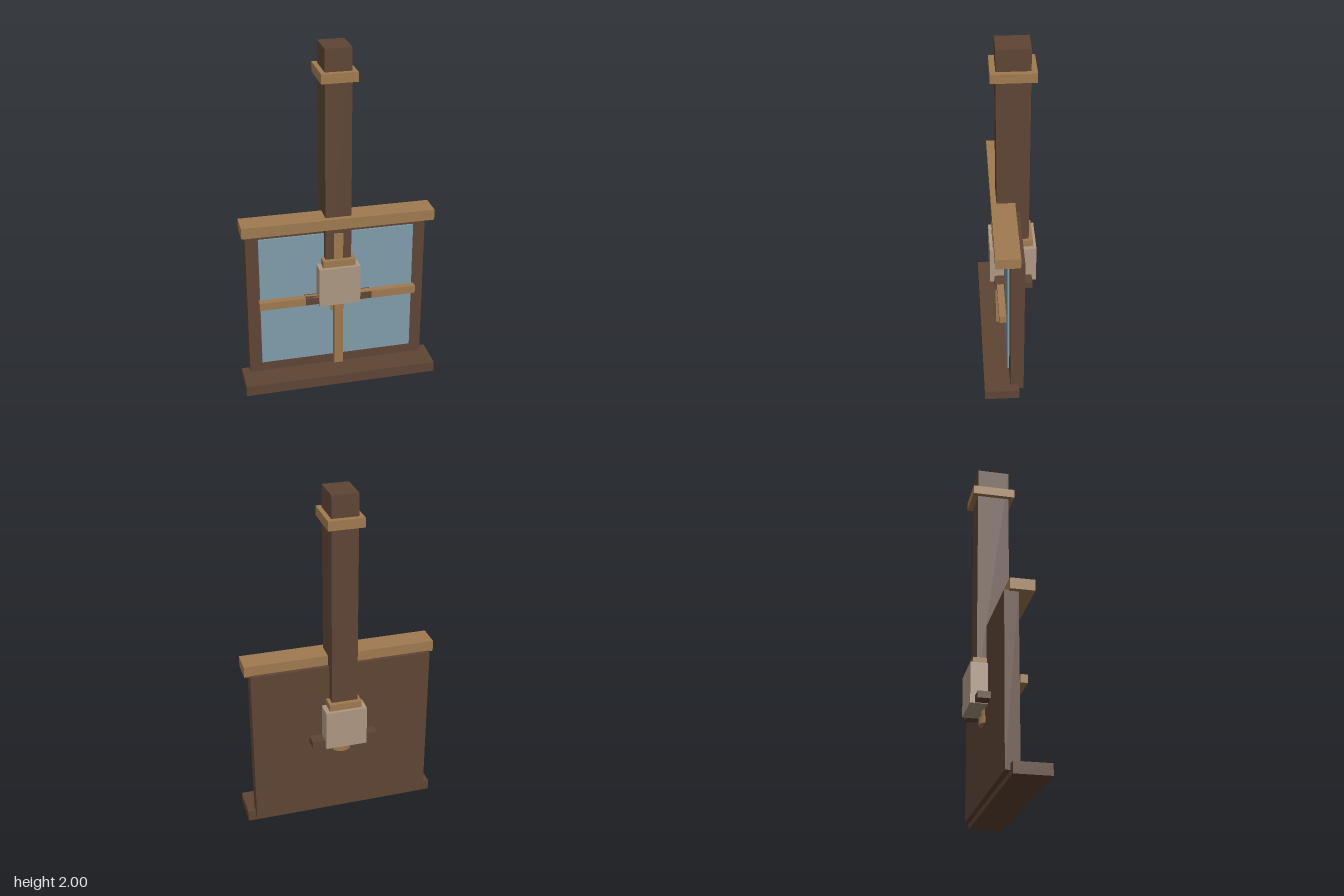
import * as THREE from 'three';

const material = (name, color) => {
  const m = new THREE.MeshStandardMaterial({ color });
  m.name = name;
  return m;
};

export function createModel() {
  const darkWood = material('dark wood', 0x5f4535);
  const lightWood = material('light wood', 0xa07a50);
  const stone = material('pale stone', 0xae9883);
  const glass = material('blue glass', 0x809dab);

  const model = new THREE.Group();
  model.name = 'windowWithPost';

  const add = (name, geometry, mat, x, y, z) => {
    const mesh = new THREE.Mesh(geometry, mat);
    mesh.name = name;
    mesh.position.set(x, y, z);
    model.add(mesh);
  };

  // Box centred on x = 0, given by half width, y range and z range
  const block = (name, mat, halfX, y0, y1, z0, z1) =>
    add(name, new THREE.BoxGeometry(2 * halfX, y1 - y0, z1 - z0), mat, 0, (y0 + y1) / 2, (z0 + z1) / 2);

  // Upright cylinder centred under the post
  const disc = (name, mat, rTop, rBottom, y0, y1) =>
    add(name, new THREE.CylinderGeometry(rTop, rBottom, y1 - y0, 16), mat, 0, (y0 + y1) / 2, -0.027);

  // Window panel, sill, lintel and pane
  block('sill', darkWood, 0.565, 0, 0.062, -0.037, 0.161);
  block('panel', darkWood, 0.52, 0.03, 0.985, -0.065, 0.012);
  block('lintel', lightWood, 0.548, 0.98, 1.043, -0.041, 0.094);
  block('pane', glass, 0.448, 0.125, 0.928, 0.014, 0.0235);

  // Glazing bars
  block('uprightBar', lightWood, 0.026, 0.09, 0.942, 0.031, 0.07);
  block('crossBar', lightWood, 0.458, 0.504, 0.55, 0.031, 0.07);

  // Post with its collars
  block('post', darkWood, 0.074, 0.6, 2, -0.119, 0.063);
  block('upperCollar', lightWood, 0.1, 1.822, 1.875, -0.15, 0.093);
  block('lowerCollar', lightWood, 0.093, 0.74, 0.783, -0.142, 0.087);

  // Stone block with a beam through it
  block('stoneBlock', stone, 0.119, 0.508, 0.742, -0.161, 0.105);
  block('beam', darkWood, 0.193, 0.511, 0.55, -0.135, 0.08);

  // Turned finial below the block
  disc('finialNeck', lightWood, 0.053, 0.053, 0.465, 0.51);
  disc('finialFoot', lightWood, 0.066, 0.066, 0.428, 0.467);

  return model;
}
